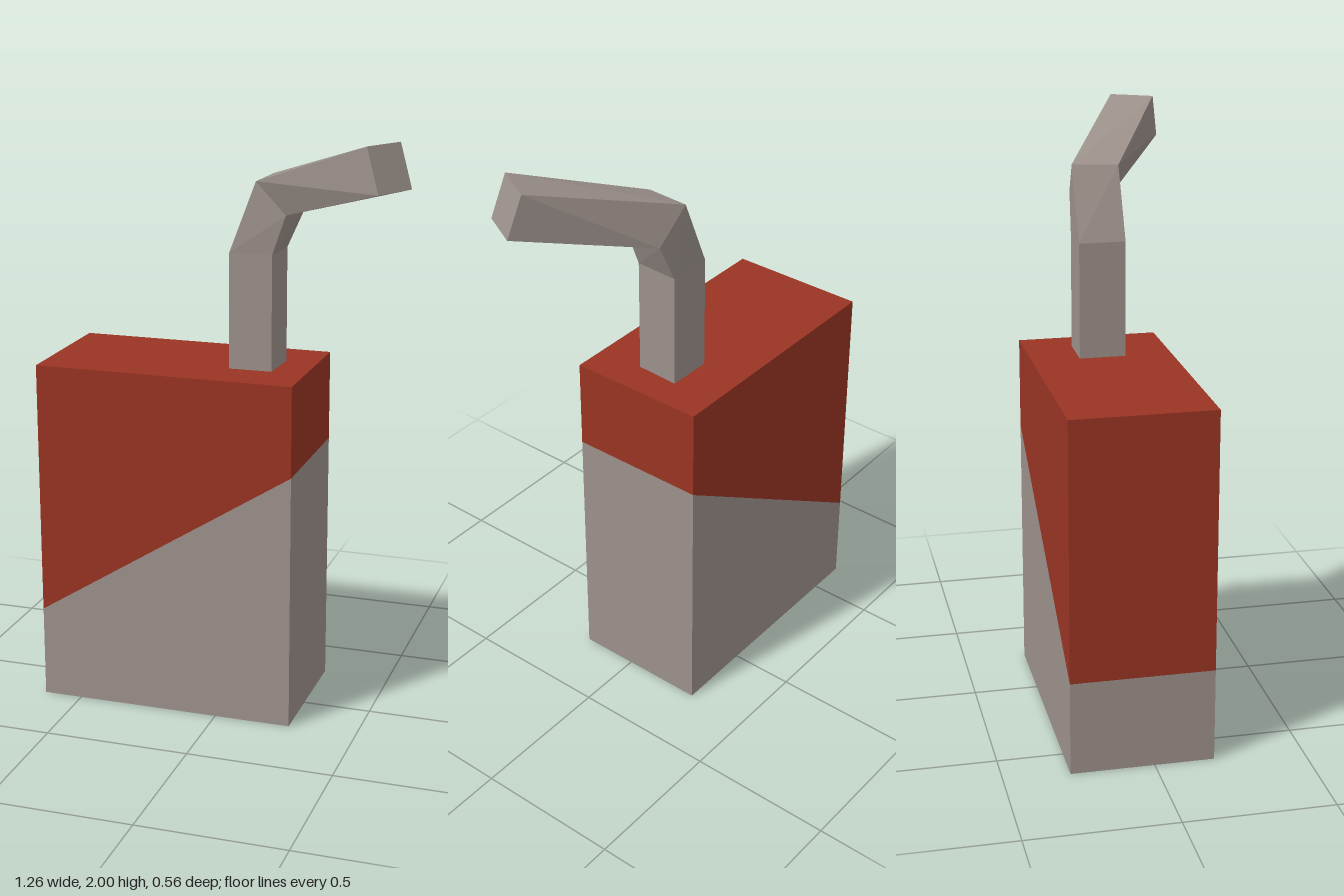
import * as THREE from 'three';

const paleGrey = new THREE.MeshStandardMaterial({ color: 0x9c918b });
const brickRed = new THREE.MeshStandardMaterial({ color: 0x993423 });
paleGrey.name = 'paleGrey';
brickRed.name = 'brickRed';

// Carton extents and the heights of the slanted colour boundary
const LEFT = -0.635, RIGHT = 0.265, BACK = -0.28, FRONT = 0.2, TOP = 1.205;
const SLANT_LOW = 0.32, SLANT_HIGH = 0.893;

// Extrudes a front outline through the depth of the carton
function cartonPart(name, outline, material) {
  const shape = new THREE.Shape(outline.map(([x, y]) => new THREE.Vector2(x, y)));
  const geometry = new THREE.ExtrudeGeometry(shape, { depth: FRONT - BACK, bevelEnabled: false });
  geometry.translate(0, 0, BACK);
  const mesh = new THREE.Mesh(geometry, material);
  mesh.name = name;
  return mesh;
}

// Flat-faced tube through four-cornered rings, capped at both ends
function loft(rings) {
  const points = [];
  const quad = (a, b, c, d) => points.push(...a, ...b, ...c, ...a, ...c, ...d);
  for (let i = 0; i < rings.length - 1; i++) {
    for (let k = 0; k < 4; k++) {
      const n = (k + 1) % 4;
      quad(rings[i][k], rings[i][n], rings[i + 1][n], rings[i + 1][k]);
    }
  }
  quad(...rings[rings.length - 1]);
  quad(...[...rings[0]].reverse());
  const geometry = new THREE.BufferGeometry();
  geometry.setAttribute('position', new THREE.Float32BufferAttribute(points, 3));
  geometry.computeVertexNormals();
  return geometry;
}

export function createModel() {
  const model = new THREE.Group();
  model.name = 'drinkCarton';

  // Carton, split along the slanted boundary
  model.add(cartonPart('lowerCarton',
    [[LEFT, 0], [RIGHT, 0], [RIGHT, SLANT_HIGH], [LEFT, SLANT_LOW]], paleGrey));
  model.add(cartonPart('upperCarton',
    [[LEFT, SLANT_LOW], [RIGHT, SLANT_HIGH], [RIGHT, TOP], [LEFT, TOP]], brickRed));

  // Bent square straw: upright stem, elbow, then the mouthpiece swung forward
  const stem = (y) => [[0, y, 0.04], [0.147, y, 0.037], [0.155, y, -0.115], [0, y, -0.117]];
  const straw = new THREE.Mesh(loft([
    stem(TOP - 0.01),
    stem(1.6),
    [[0.09, 1.84, 0.035], [0.195, 1.735, 0.045], [0.217, 1.735, -0.107], [0.105, 1.845, -0.12]],
    [[0.51, 2, 0.25], [0.555, 1.855, 0.275], [0.63, 1.857, 0.14], [0.585, 2, 0.115]],
  ]), paleGrey);
  straw.name = 'straw';
  model.add(straw);

  return model;
}
